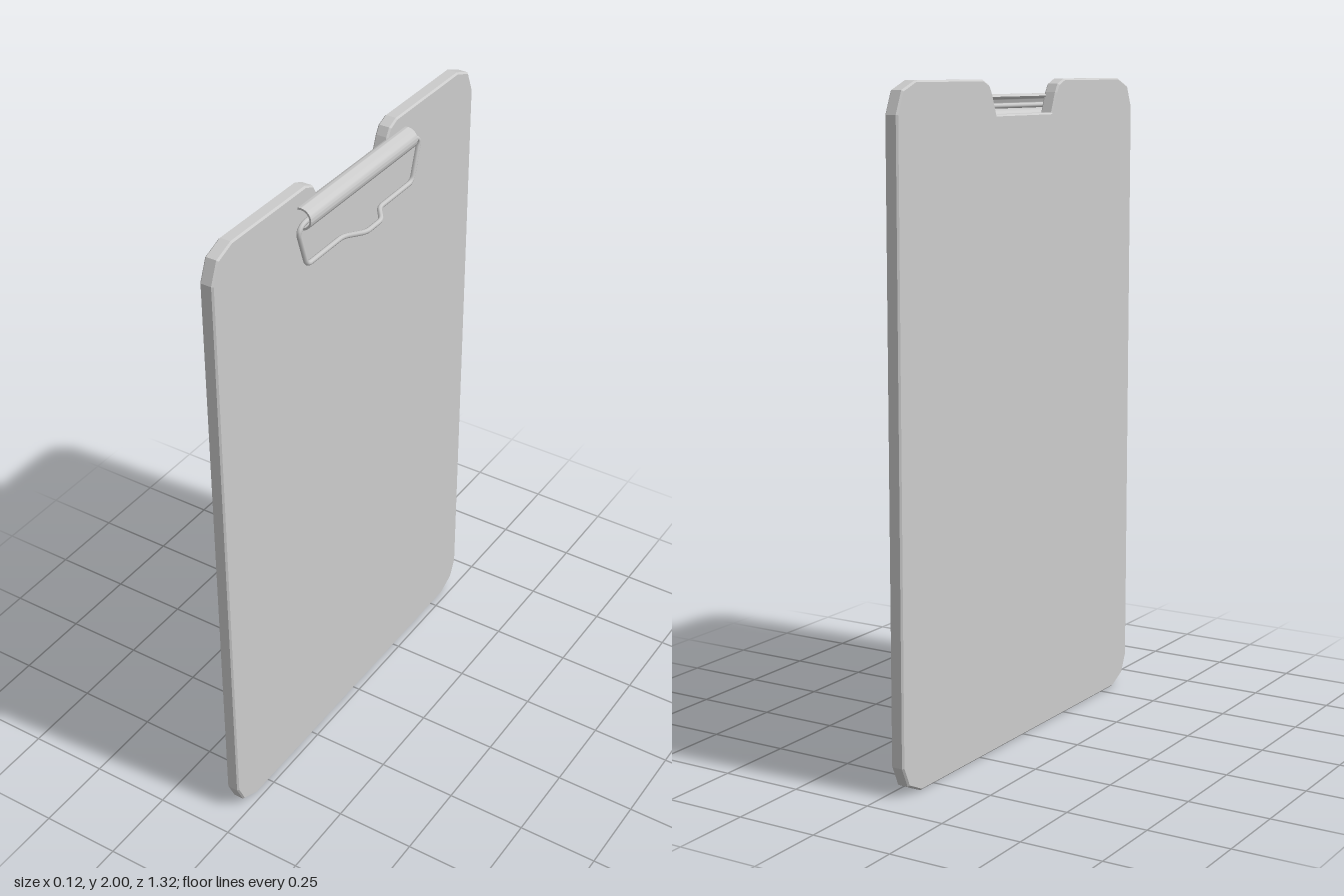
import * as THREE from 'three';
import { toCreasedNormals } from 'three/addons/utils/BufferGeometryUtils.js';

const material = new THREE.MeshStandardMaterial({ color: 0xcccccc });

function addPart(group, name, geometry) {
  const mesh = new THREE.Mesh(geometry, material);
  mesh.name = name;
  group.add(mesh);
  return mesh;
}

// Closed path of straight runs joined by small rounded corners
function roundedLoop(points, radius) {
  const path = new THREE.CurvePath();
  const n = points.length;
  const toward = (a, b) => {
    const d = a.distanceTo(b);
    return a.clone().lerp(b, Math.min(radius, d * 0.45) / d);
  };
  for (let i = 0; i < n; i++) {
    const prev = points[(i + n - 1) % n], p = points[i], next = points[(i + 1) % n];
    const leave = toward(p, next);
    path.add(new THREE.QuadraticBezierCurve3(toward(p, prev), p, leave));
    path.add(new THREE.LineCurve3(leave, toward(next, p)));
  }
  return path;
}

export function createModel() {
  const group = new THREE.Group();
  group.name = 'clipboard';

  // Board: clipped corners and a notch in the top edge, mirrored across the middle
  const half = [
    [0.57, 0], [0.633, 0.03], [0.66, 0.09], [0.66, 1.91], [0.633, 1.975], [0.57, 2],
    [0.23, 2], [0.195, 1.985], [0.18, 1.96], [0.157, 1.9],
  ];
  const outline = [...half, ...half.map(([w, y]) => [-w, y]).reverse()];
  const boardShape = new THREE.Shape(outline.map(([w, y]) => new THREE.Vector2(w, y)));
  const bevel = 0.005;
  const board = new THREE.ExtrudeGeometry(boardShape, {
    depth: 0.042 - 2 * bevel, bevelEnabled: true, bevelSegments: 1,
    bevelSize: bevel, bevelThickness: bevel, bevelOffset: -bevel,
  });
  board.translate(0, 0, -0.062 + bevel);
  board.rotateY(Math.PI / 2);
  addPart(group, 'board', board);

  // Clip: thin sheet curled around the wire
  const cx = -0.01, cy = 1.924, start = 2.25, end = -1.9;
  const curl = new THREE.Shape();
  curl.absarc(cx, cy, 0.033, start, end, true);
  curl.absarc(cx, cy, 0.027, end, start, false);
  curl.closePath();
  const sheet = new THREE.ExtrudeGeometry(curl, { depth: 0.546, bevelEnabled: false, curveSegments: 20 });
  sheet.translate(0, 0, -0.273);
  addPart(group, 'clipSheet', toCreasedNormals(sheet, 0.6));

  // Wire: passes through the curl, hangs down and bows outward as a finger grip
  const side = [
    [0.006, 1.922, 0.287], [0.006, 1.905, 0.31], [0.006, 1.787, 0.272],
    [0.006, 1.787, 0.095], [0.048, 1.787, 0.04],
  ];
  const wirePoints = [...side, ...side.map(([x, y, z]) => [x, y, -z]).reverse()]
    .map((p) => new THREE.Vector3(...p));
  const wire = new THREE.TubeGeometry(roundedLoop(wirePoints, 0.018), 240, 0.0075, 8, true);
  addPart(group, 'clipWire', wire);

  return group;
}
